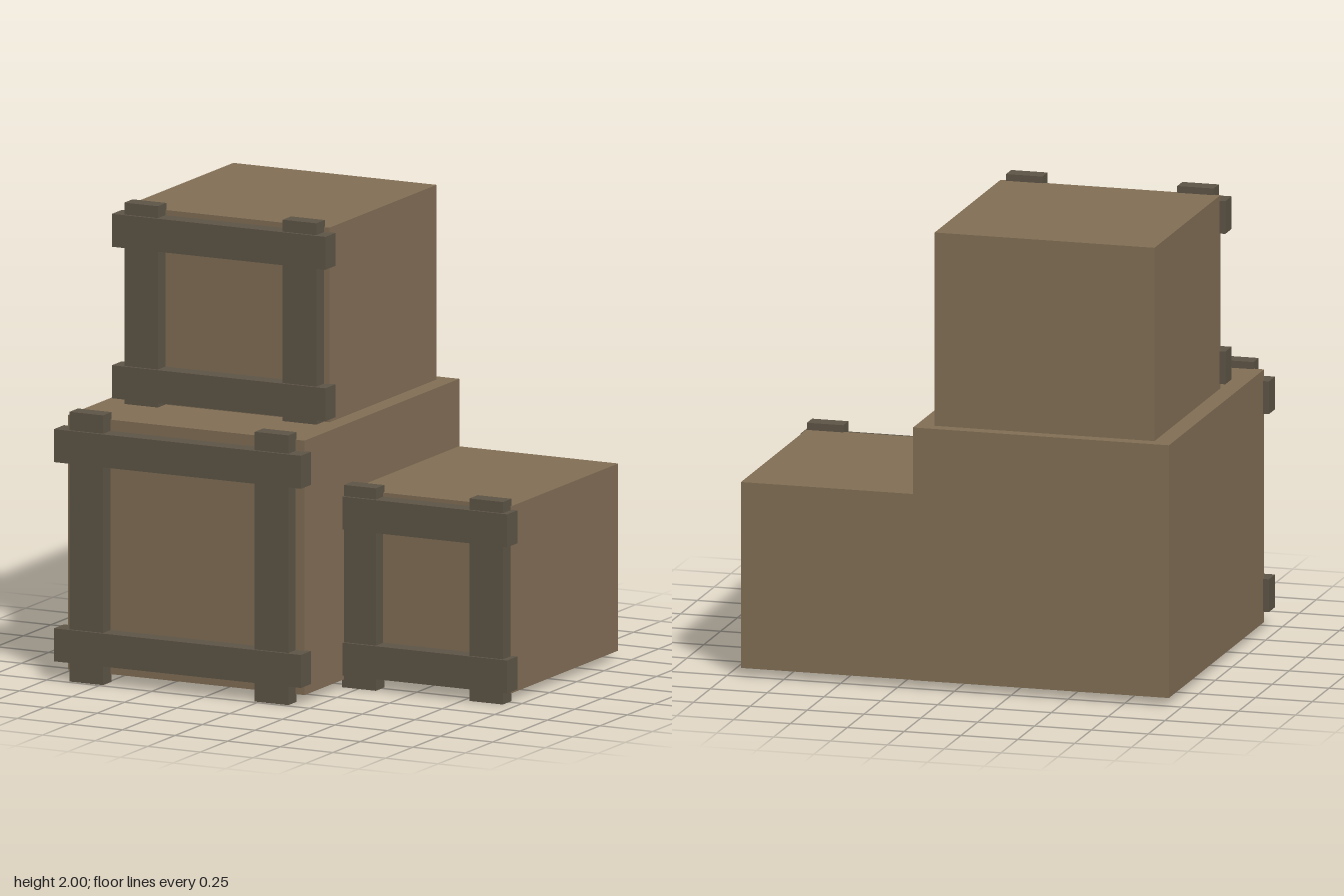
import * as THREE from 'three';

export function createModel() {
  const model = new THREE.Group();
  model.name = 'crateStack';
  const wood = new THREE.MeshStandardMaterial({ color: 0x826f56 });
  wood.name = 'tan wood';
  const trim = new THREE.MeshStandardMaterial({ color: 0x5e5546 });
  trim.name = 'dark wood';

  // Box given by its extents on each axis
  function slab(parent, name, material, [x0, x1], [y0, y1], [z0, z1]) {
    const mesh = new THREE.Mesh(new THREE.BoxGeometry(x1 - x0, y1 - y0, z1 - z0), material);
    mesh.position.set((x0 + x1) / 2, (y0 + y1) / 2, (z0 + z1) / 2);
    mesh.name = name;
    parent.add(mesh);
  }

  // Crate body with a frame of two posts and two rails on its front
  function crate({ name, x, y, z, posts, postY, rails, railX, frameZ }) {
    const group = new THREE.Group();
    group.name = name;
    slab(group, 'body', wood, x, y, z);
    for (const px of posts) {
      slab(group, 'post', trim, [px, px + 0.16], postY, [frameZ, frameZ + 0.077]);
    }
    for (const ry of rails) {
      slab(group, 'rail', trim, railX, [ry, ry + 0.142], [frameZ - 0.002, frameZ + 0.09]);
    }
    model.add(group);
  }

  crate({
    name: 'largeCrate', x: [-0.943, 0.183], y: [0.035, 1.132], z: [-0.748, 0.667],
    posts: [-0.9, -0.02], postY: [0, 1.163],
    rails: [0.083, 0.942], railX: [-0.968, 0.207], frameZ: 0.657,
  });
  crate({
    name: 'topCrate', x: [-0.863, 0.104], y: [1.132, 1.971], z: [-0.693, 0.288],
    posts: [-0.836, -0.083], postY: [1.132, 2],
    rails: [1.154, 1.807], railX: [-0.888, 0.127], frameZ: 0.279,
  });
  crate({
    name: 'smallCrate', x: [0.175, 0.941], y: [0.035, 0.842], z: [-0.743, 0.239],
    posts: [0.174, 0.778], postY: [0, 0.873],
    rails: [0.053, 0.683], railX: [0.15, 0.965], frameZ: 0.229,
  });
  return model;
}
